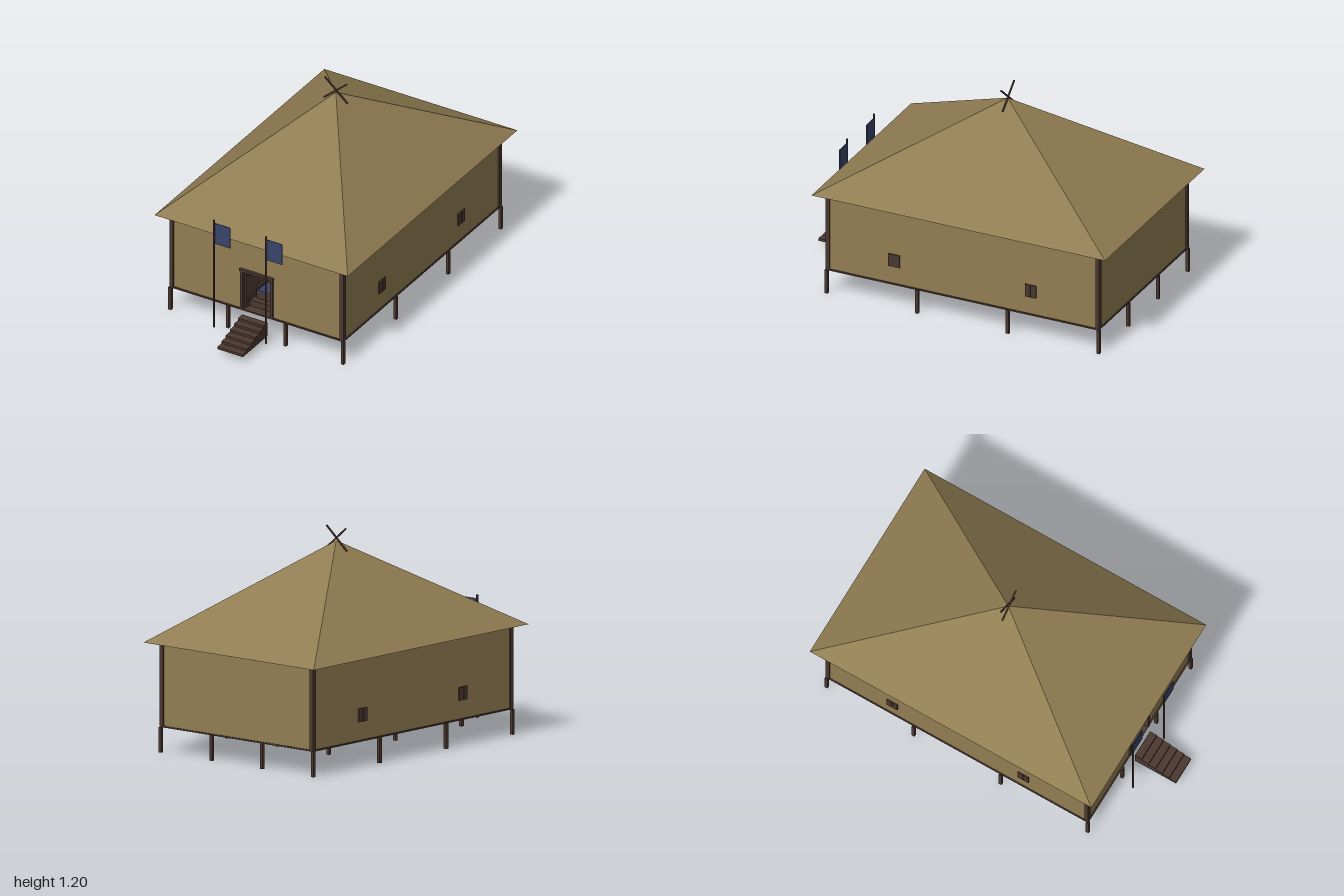
import * as THREE from 'three';

const mat = (name, color) => {
  const m = new THREE.MeshStandardMaterial({ color });
  m.name = name;
  return m;
};

export function createModel() {
  const model = new THREE.Group();
  model.name = 'stiltHall';
  const thatch = mat('thatch', 0x917d52);
  const wood = mat('darkWood', 0x4b3830);
  const navy = mat('navyCloth', 0x38446a);

  const add = (name, geometry, material, parent = model) => {
    const mesh = new THREE.Mesh(geometry, material);
    mesh.name = name;
    parent.add(mesh);
    return mesh;
  };
  // Box given by its lower and upper corners
  const box = (name, material, [x0, y0, z0], [x1, y1, z1], parent) => {
    const mesh = add(name, new THREE.BoxGeometry(x1 - x0, y1 - y0, z1 - z0), material, parent);
    mesh.position.set((x0 + x1) / 2, (y0 + y1) / 2, (z0 + z1) / 2);
    return mesh;
  };

  // Stilts in a four by four grid
  for (const x of [-0.55, -0.183, 0.183, 0.55]) {
    for (const z of [-0.93, -0.38, 0.17, 0.72]) {
      box('stilt', wood, [x - 0.009, 0, z - 0.009], [x + 0.009, 0.141, z + 0.009]);
    }
  }

  // Floor and plain walls
  box('floor', wood, [-0.553, 0.14, -0.933], [0.553, 0.148, 0.723]);
  for (const s of [-1, 1]) {
    box('sideWall', thatch, [s * 0.54 - 0.006, 0.148, -0.925], [s * 0.54 + 0.006, 0.608, 0.715]);
  }
  box('backWall', thatch, [-0.54, 0.148, -0.927], [0.54, 0.608, -0.915]);

  // Front wall around the doorway
  const front = new THREE.Shape();
  front.moveTo(-0.54, 0.148);
  for (const [x, y] of [[-0.09, 0.148], [-0.09, 0.39], [0.09, 0.39], [0.09, 0.148],
    [0.54, 0.148], [0.54, 0.608], [-0.54, 0.608]]) front.lineTo(x, y);
  add('frontWall', new THREE.ExtrudeGeometry(front, { depth: 0.012, bevelEnabled: false }), thatch)
    .position.z = 0.703;

  // Corner posts and the beams under the eaves
  for (const s of [-1, 1]) {
    const x = [s * 0.5425 - 0.0125, s * 0.5425 + 0.0125];
    box('cornerPost', wood, [x[0], 0.148, 0.7], [x[1], 0.609, 0.724]);
    box('cornerPost', wood, [x[0], 0.148, -0.936], [x[1], 0.609, -0.912]);
    box('sideBeam', wood, [s * 0.545 - 0.007, 0.593, -0.93], [s * 0.545 + 0.007, 0.609, 0.72]);
  }
  box('frontBeam', wood, [-0.54, 0.593, 0.705], [0.54, 0.609, 0.721]);
  box('backBeam', wood, [-0.54, 0.593, -0.933], [0.54, 0.609, -0.917]);

  // Pyramid roof with an off-centre peak
  const peak = [0, 1.125, -0.108];
  const eaves = [[-0.615, 0.61, 0.78], [0.615, 0.61, 0.78], [0.615, 0.61, -1], [-0.615, 0.61, -1]];
  const roofPoints = [];
  eaves.forEach((p, i) => roofPoints.push(...p, ...eaves[(i + 1) % 4], ...peak));
  for (const i of [0, 2, 1, 0, 3, 2]) roofPoints.push(...eaves[i]);
  const roof = new THREE.BufferGeometry();
  roof.setAttribute('position', new THREE.Float32BufferAttribute(roofPoints, 3));
  roof.computeVertexNormals();
  add('roof', roof, thatch);

  // Crossed sticks on the peak
  for (const s of [-1, 1]) {
    const stick = add('ridgeStick', new THREE.BoxGeometry(0.193, 0.008, 0.008), wood);
    stick.position.set(0, 1.137, -0.108 + s * 0.004);
    stick.rotation.z = s * 0.71;
  }

  // Shuttered windows in the side walls
  for (const s of [-1, 1]) {
    for (const z of [0.311, -0.518]) {
      const window = new THREE.Group();
      window.name = 'window';
      window.position.set(s * 0.547, 0.287, z);
      model.add(window);
      box('windowPanel', wood, [-0.003, -0.036, -0.033], [0.003, 0.036, 0.033], window);
      for (const t of [-1, 1]) {
        box('shutter', wood, [-0.007, -0.037, t * 0.018 - 0.016], [0.007, 0.037, t * 0.018 + 0.016], window);
      }
    }
  }

  // Door frame and the leaf opened inwards
  for (const s of [-1, 1]) {
    box('doorJamb', wood, [s * 0.095 - 0.007, 0.148, 0.698], [s * 0.095 + 0.007, 0.39, 0.726]);
  }
  box('doorLintel', wood, [-0.107, 0.388, 0.696], [0.107, 0.403, 0.73]);
  const door = new THREE.Group();
  door.name = 'openDoor';
  door.position.set(-0.086, 0, 0.7);
  door.rotation.y = -0.1;
  model.add(door);
  box('doorLeaf', wood, [0, 0.15, -0.16], [0.01, 0.385, 0], door);
  for (const y of [0.19, 0.35]) box('doorBrace', wood, [0.01, y, -0.155], [0.016, y + 0.018, -0.005], door);

  // High-backed seat just inside the doorway
  const seat = new THREE.Group();
  seat.name = 'highSeat';
  model.add(seat);
  box('seatPlatform', wood, [-0.09, 0.148, 0.48], [0.09, 0.185, 0.67], seat);
  box('seatBase', wood, [-0.05, 0.185, 0.53], [0.05, 0.231, 0.635], seat);
  box('seatCushion', navy, [-0.043, 0.231, 0.54], [0.043, 0.24, 0.638], seat);
  box('seatBack', wood, [-0.055, 0.185, 0.515], [0.055, 0.387, 0.53], seat);
  for (const s of [-1, 1]) {
    box('armRest', wood, [s * 0.05 - 0.006, 0.245, 0.53], [s * 0.05 + 0.006, 0.256, 0.635], seat);
    box('armPost', wood, [s * 0.05 - 0.005, 0.185, 0.622], [s * 0.05 + 0.005, 0.246, 0.633], seat);
  }

  // Stairs as one stepped profile
  const stairs = new THREE.Shape();
  const run = 0.26 / 6;
  stairs.moveTo(0.74, 0.04);
  stairs.lineTo(1, 0.04);
  for (let i = 0; i < 6; i++) {
    const y = 0.054 + i * 0.0142;
    stairs.lineTo(1 - i * run, y);
    stairs.lineTo(1 - (i + 1) * run, y);
  }
  const stairGeometry = new THREE.ExtrudeGeometry(stairs, { depth: 0.162, bevelEnabled: false });
  stairGeometry.rotateY(-Math.PI / 2).translate(0.081, 0, 0);
  add('stairs', stairGeometry, wood);

  // Flag poles
  for (const x of [-0.218, 0.114]) {
    const pole = add('flagPole', new THREE.CylinderGeometry(0.0055, 0.0055, 0.682, 8), wood);
    pole.position.set(x, 0.379, 0.81);
    box('flag', navy, [x + 0.003, 0.57, 0.804], [x + 0.101, 0.7, 0.808]);
  }

  return model;
}
